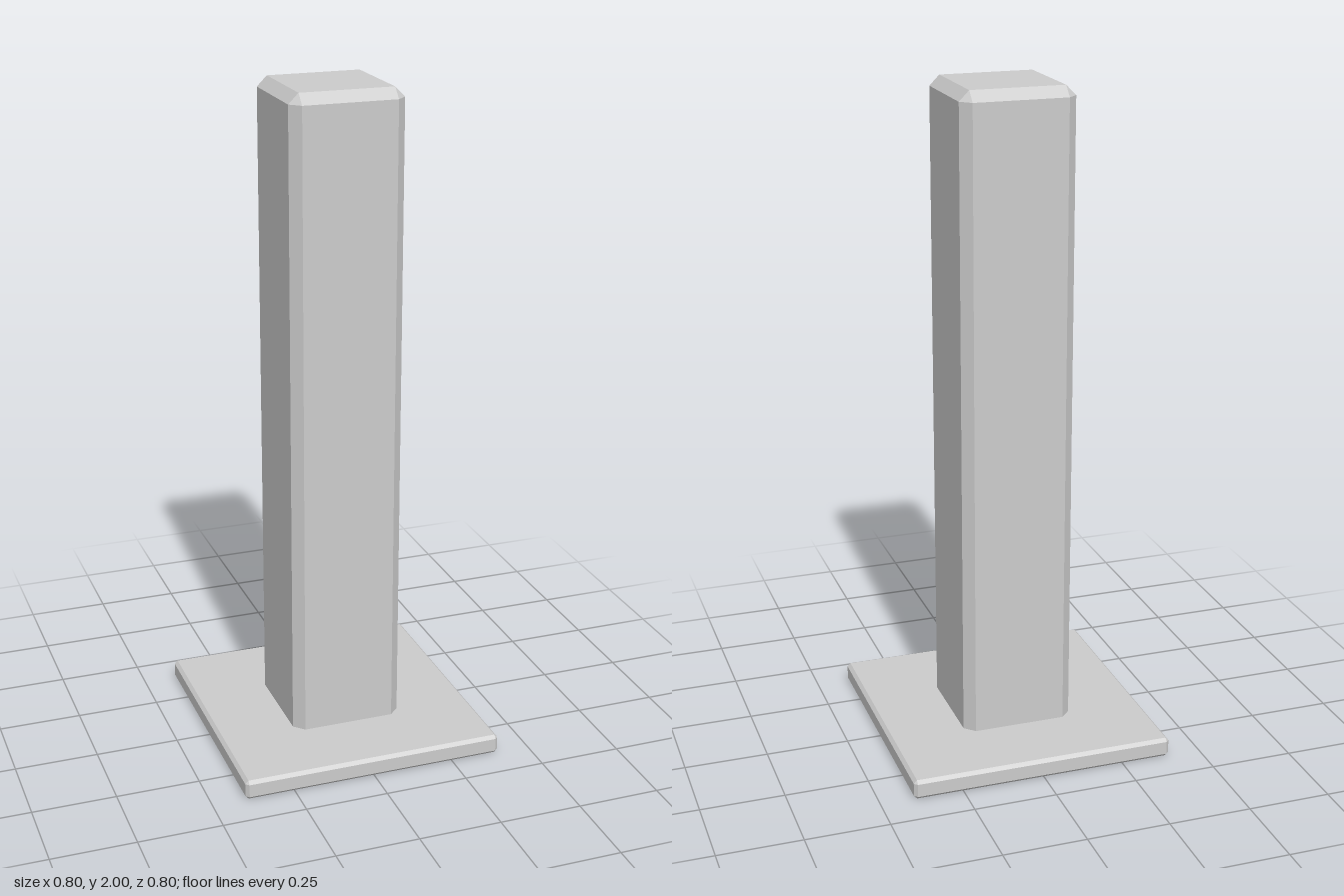
import * as THREE from 'three';
import { ConvexGeometry } from 'three/addons/geometries/ConvexGeometry.js';

const material = new THREE.MeshStandardMaterial({ color: 0xcccccc, flatShading: true });

// Box with every edge cut by a flat chamfer c: three points per corner.
function chamferedBox(name, width, bottom, top, c) {
  const w = width / 2, h = (top - bottom) / 2;
  const points = [];
  for (const x of [-1, 1]) for (const y of [-1, 1]) for (const z of [-1, 1]) {
    points.push(
      new THREE.Vector3(x * w, y * (h - c), z * (w - c)),
      new THREE.Vector3(x * (w - c), y * h, z * (w - c)),
      new THREE.Vector3(x * (w - c), y * (h - c), z * w)
    );
  }
  const mesh = new THREE.Mesh(new ConvexGeometry(points), material);
  mesh.name = name;
  mesh.position.y = (top + bottom) / 2;
  return mesh;
}

export function createModel() {
  const group = new THREE.Group();
  group.name = 'squarePost';
  // Thin square foot
  group.add(chamferedBox('basePlate', 0.8, 0, 0.06, 0.01));
  // Tall post, its lower chamfer sunk into the plate
  group.add(chamferedBox('post', 0.34, 0.03, 2, 0.03));
  return group;
}
